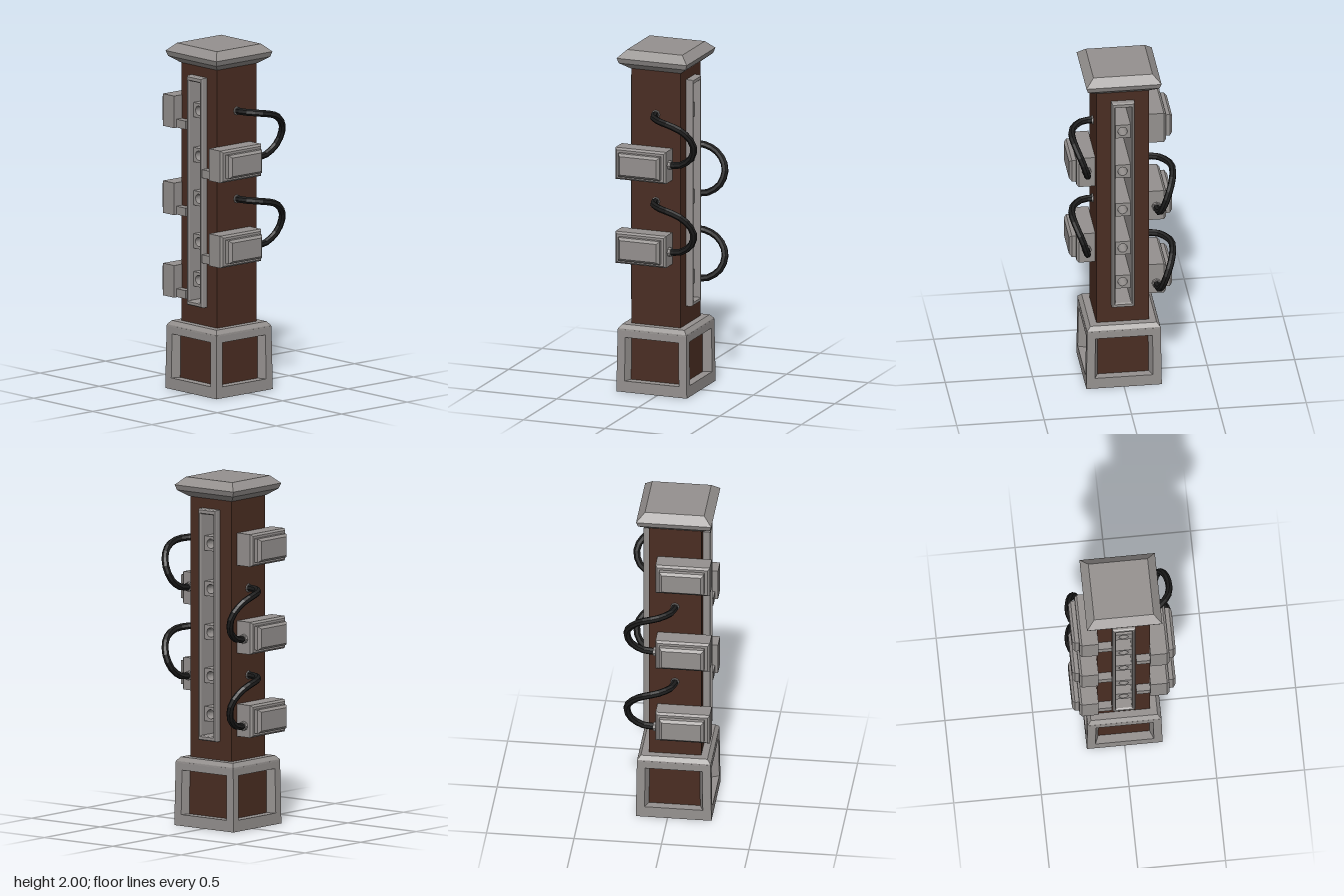
import * as THREE from 'three';

const grey = new THREE.MeshStandardMaterial({ color: 0x95918f });
grey.name = 'grey metal';
const brown = new THREE.MeshStandardMaterial({ color: 0x4a2d22 });
brown.name = 'dark brown';
brown.side = THREE.DoubleSide;
const black = new THREE.MeshStandardMaterial({ color: 0x1c1c1c });
black.name = 'cable black';

// Faceted copy of a geometry
function flat(geo) {
  const g = geo.index ? geo.toNonIndexed() : geo;
  g.computeVertexNormals();
  return g;
}

function add(parent, name, geo, mat, x = 0, y = 0, z = 0) {
  const mesh = new THREE.Mesh(flat(geo), mat);
  mesh.name = name;
  mesh.position.set(x, y, z);
  parent.add(mesh);
  return mesh;
}

// Closed solid through rectangular rings [halfX, halfZ, y], bottom to top
function loft(rings) {
  const pos = [], idx = [];
  for (const [a, b, y] of rings) pos.push(-a, y, b, a, y, b, a, y, -b, -a, y, -b);
  for (let r = 0; r < rings.length - 1; r++) {
    for (let i = 0; i < 4; i++) {
      const p = r * 4 + i, q = r * 4 + (i + 1) % 4;
      idx.push(p, q, q + 4, p, q + 4, p + 4);
    }
  }
  const t = (rings.length - 1) * 4;
  idx.push(0, 2, 1, 0, 3, 2, t, t + 1, t + 2, t, t + 2, t + 3);
  const g = new THREE.BufferGeometry();
  g.setAttribute('position', new THREE.Float32BufferAttribute(pos, 3));
  g.setIndex(idx);
  return g;
}

// Rectangle outline, as a shape or as a hole path
function rect(Type, hx, y0, y1) {
  return new Type([[-hx, y0], [hx, y0], [hx, y1], [-hx, y1]].map(p => new THREE.Vector2(...p)));
}

function addBase(body) {
  const base = new THREE.Group();
  base.name = 'base';
  body.add(base);
  const depth = 0.05, out = 0.213;
  for (let i = 0; i < 4; i++) {
    const shape = rect(THREE.Shape, out, 0, 0.365);
    shape.holes.push(rect(THREE.Path, 0.165, 0.065, 0.32));
    const g = new THREE.ExtrudeGeometry(shape, { depth, bevelEnabled: false });
    const p = g.attributes.position;
    // mitre the corners, splay the jambs and lean the faces slightly inwards
    for (let v = 0; v < p.count; v++) {
      let x = p.getX(v);
      if (p.getZ(v) < 0.01) x = Math.sign(x) * (Math.abs(x) > 0.2 ? out - depth : 0.145);
      const k = 1.014 - 0.07 * p.getY(v);
      p.setXYZ(v, x * k, p.getY(v), (p.getZ(v) + out - depth) * k);
    }
    g.rotateY(i * Math.PI / 2);
    add(base, 'baseFrame', g, grey);
    const panel = new THREE.PlaneGeometry(0.3, 0.3).translate(0, 0.19, 0.164).rotateY(i * Math.PI / 2);
    add(base, 'basePanel', panel, brown);
  }
  add(base, 'baseRim', loft([[0.211, 0.211, 0.36], [0.209, 0.209, 0.37], [0.19, 0.19, 0.392]]), grey);
}

function addSlot(body) {
  // lined slot running right through the column
  const shape = rect(THREE.Shape, 0.059, 0.506, 1.824);
  shape.holes.push(rect(THREE.Path, 0.051, 0.522, 1.806));
  const g = new THREE.ExtrudeGeometry(shape, {
    depth: 0.36, bevelThickness: 0.01, bevelSize: 0.006, bevelSegments: 1,
  });
  add(body, 'slotFrame', g, grey, 0, 0, -0.18);

  // pierced blocks across the slot
  for (const y of [1.63, 1.37, 1.12, 0.87, 0.65]) {
    const block = rect(THREE.Shape, 0.046, -0.042, 0.042);
    block.holes.push(new THREE.Path().absarc(0, 0, 0.027, 0, Math.PI * 2, true));
    const b = new THREE.ExtrudeGeometry(block, { depth: 0.31, bevelEnabled: false, curveSegments: 10 });
    add(body, 'piercedBlock', b, grey, 0, y, -0.155);
  }
}

// Side box with stepped cover and a bracket onto the front of the column
function addBox(body, side, y) {
  const box = new THREE.Group();
  box.name = side > 0 ? 'leftBox' : 'rightBox';
  box.position.y = y;
  body.add(box);
  const turn = -side * Math.PI / 2;
  const shell = loft([[0.093, 0.155, 0.148], [0.093, 0.155, 0.243], [0.082, 0.144, 0.256]]).rotateZ(turn);
  add(box, 'boxShell', shell, grey, 0, 0, 0.055);
  const cover = loft([[0.068, 0.128, 0.25], [0.068, 0.128, 0.28], [0.054, 0.112, 0.295]]).rotateZ(turn);
  add(box, 'boxCover', cover, grey, 0, 0, 0.0525);
  add(box, 'bracket', new THREE.BoxGeometry(0.1, 0.048, 0.045), grey, side * 0.12, -0.067, 0.17);
}

// Looping cable from the column wall into the back of a box
function addCable(body, side, y) {
  const path = [
    [0.14, 0, 0], [0.215, 0, -0.01], [0.28, -0.008, -0.085], [0.288, -0.022, -0.15],
    [0.272, -0.06, -0.22], [0.242, -0.13, -0.264], [0.216, -0.215, -0.245],
    [0.203, -0.27, -0.17], [0.2, -0.275, -0.09],
  ].map(([px, py, pz]) => new THREE.Vector3(side * px, y + py, pz));
  const curve = new THREE.CatmullRomCurve3(path);
  add(body, 'cable', new THREE.TubeGeometry(curve, 16, 0.02, 7), black);
  const wall = new THREE.CylinderGeometry(0.025, 0.025, 0.012, 8).rotateZ(Math.PI / 2);
  add(body, 'cableSocket', wall, grey, side * 0.152, y, 0);
  const back = new THREE.CylinderGeometry(0.027, 0.027, 0.02, 8).rotateX(Math.PI / 2);
  add(body, 'cableSocket', back, grey, side * 0.2, y - 0.275, -0.106);
}

export function createModel() {
  const model = new THREE.Group();
  model.name = 'cabledPillar';
  const body = new THREE.Group();
  body.name = 'pillar';
  body.position.z = 0.035;
  model.add(body);

  addBase(body);

  // column with the slot cut through it
  const shaft = rect(THREE.Shape, 0.15, 0.38, 1.9);
  shaft.holes.push(rect(THREE.Path, 0.058, 0.51, 1.82));
  add(body, 'column', new THREE.ExtrudeGeometry(shaft, { depth: 0.3, bevelEnabled: false }), brown, 0, 0, -0.15);
  addSlot(body);

  // cap
  const cap = [[0.155, 1.888], [0.205, 1.925], [0.215, 1.955], [0.169, 2]].map(([w, y]) => [w, w, y]);
  add(body, 'cap', loft(cap), grey);

  // boxes alternate from side to side
  for (const y of [1.607, 1.103, 0.625]) addBox(body, -1, y);
  for (const y of [1.348, 0.855]) addBox(body, 1, y);
  for (const y of [1.632, 1.122]) addCable(body, 1, y);
  for (const y of [1.372, 0.872]) addCable(body, -1, y);

  return model;
}
